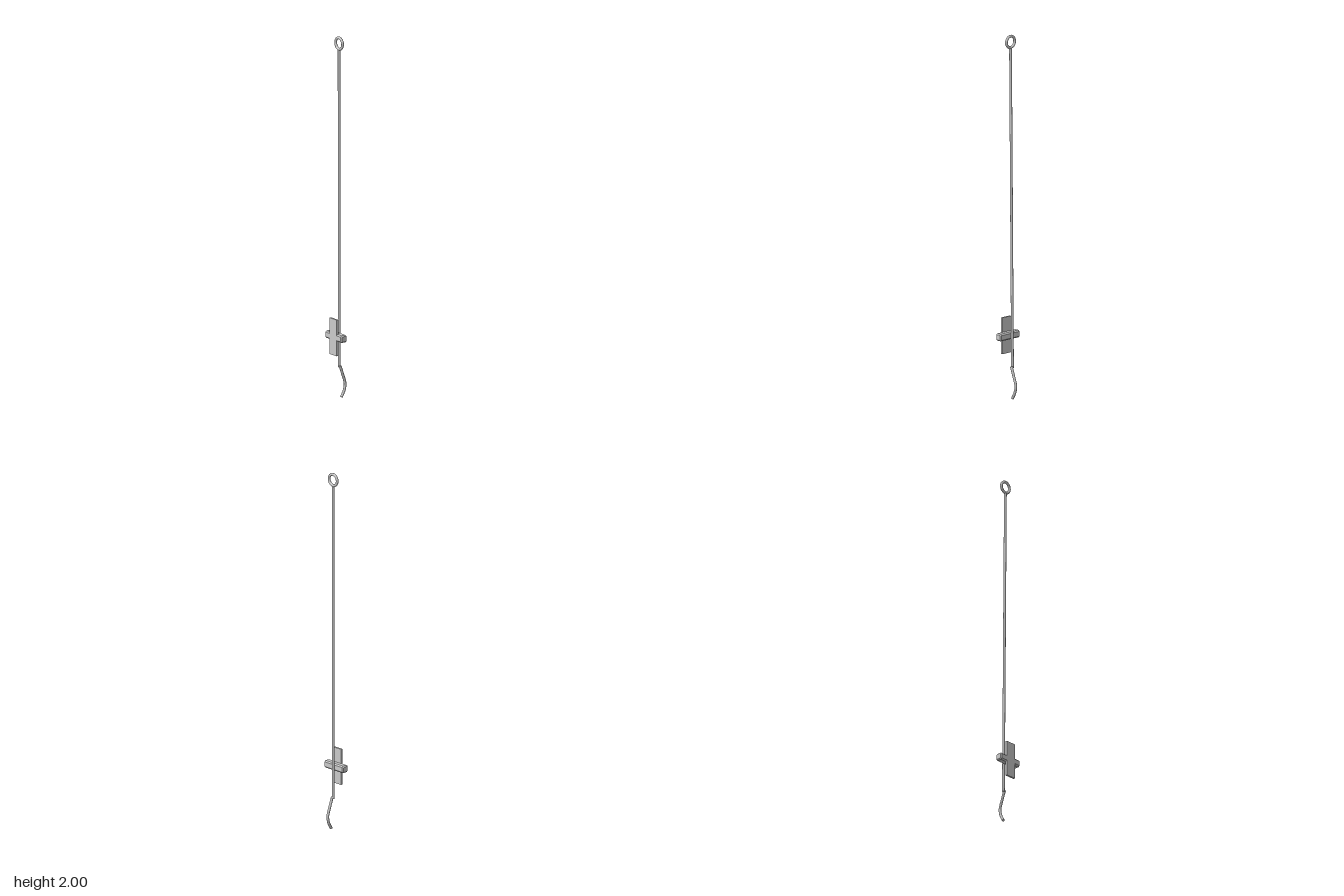
import * as THREE from 'three';

export function createModel() {
  const model = new THREE.Group();
  const smooth = new THREE.MeshStandardMaterial({ color: 0xcccccc });
  const flat = new THREE.MeshStandardMaterial({ color: 0xcccccc, flatShading: true });
  const V = (x, y, z) => new THREE.Vector3(x, y, z);
  const add = (name, geometry, material) => {
    const mesh = new THREE.Mesh(geometry, material);
    mesh.name = name;
    model.add(mesh);
    return mesh;
  };
  const wire = 0.0075;

  // Ring handle, lying in the y-z plane
  const ring = add('ringHandle', new THREE.TorusGeometry(0.031, wire, 12, 40), smooth);
  ring.rotation.y = Math.PI / 2;
  ring.position.set(-0.005, 1.9615, 0);

  // Long thin rod, leaning slightly from ring to hook
  const top = V(-0.005, 1.932, 0);
  const bottom = V(0.002, 0.17, -0.008);
  const axis = top.clone().sub(bottom);
  const rod = add('rod', new THREE.CylinderGeometry(wire, wire, axis.length(), 12), smooth);
  rod.position.copy(top).add(bottom).multiplyScalar(0.5);
  rod.quaternion.setFromUnitVectors(V(0, 1, 0), axis.normalize());

  // Curved tip below the rod, with closed ends
  const path = new THREE.CatmullRomCurve3([
    V(0.001, 0.178, 0), V(0.02, 0.125, 0), V(0.0345, 0.076, 0),
    V(0.029, 0.041, 0), V(0.01, 0.004, 0),
  ]);
  add('hookTip', new THREE.TubeGeometry(path, 28, wire, 12), smooth);
  for (const t of [0, 1]) {
    const cap = add('hookCap', new THREE.CircleGeometry(wire, 12), smooth);
    cap.position.copy(path.getPoint(t));
    const outward = path.getTangent(t).multiplyScalar(t ? 1 : -1);
    cap.quaternion.setFromUnitVectors(V(0, 0, 1), outward);
  }

  // Flat upright plate
  const plate = add('plate', new THREE.BoxGeometry(0.011, 0.2, 0.063), flat);
  plate.position.set(-0.0395, 0.345, 0);

  // Cross bar: eight-sided section with bevelled ends
  const w = 0.02, h = 0.02, c = 0.007;
  const section = new THREE.Shape([
    [w - c, -h], [w, -h + c], [w, h - c], [w - c, h],
    [-w + c, h], [-w, h - c], [-w, -h + c], [-w + c, -h],
  ].map(([x, y]) => new THREE.Vector2(x, y)));
  const bar = add('crossBar', new THREE.ExtrudeGeometry(section, {
    depth: 0.136, bevelEnabled: true, bevelThickness: 0.006,
    bevelSize: 0.006, bevelOffset: -0.006, bevelSegments: 1,
  }), flat);
  bar.position.set(-0.025, 0.345, -0.069);

  return model;
}
